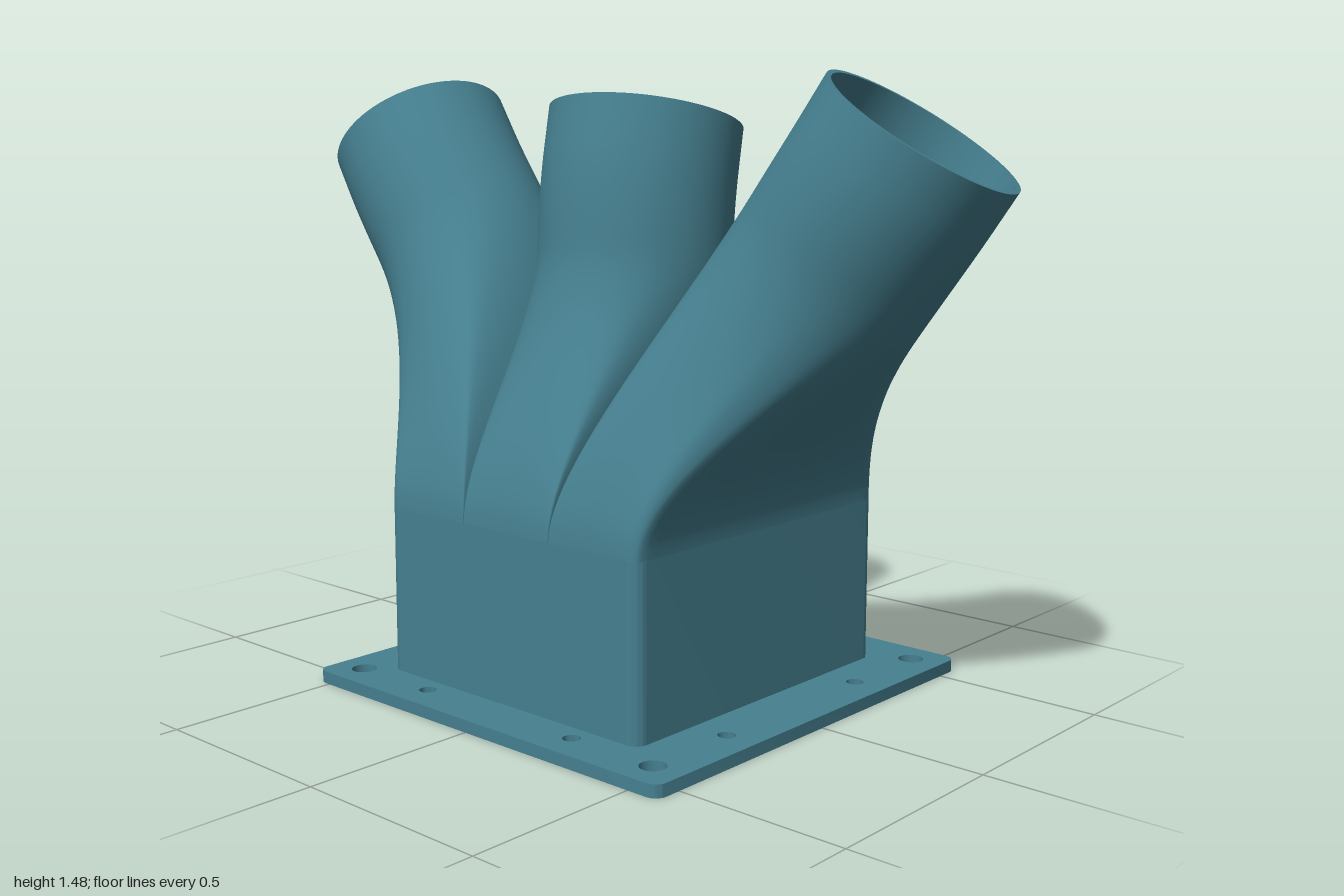
import * as THREE from 'three';
import { mergeGeometries, toCreasedNormals } from 'three/addons/utils/BufferGeometryUtils.js';

const WALL = 0.012, BASE_Y = 0.44, FLANGE_H = 0.03;
const HX = 0.41, HZ = 0.44, SPLIT = 0.14, CORNER = 0.03;
const SIDE = 24, ROWS = 32, COLLAR = 0.1, RADIUS = 0.237;

// Rounded rectangle traced on a Shape or Path
function roundRect(path, cx, hx, hz, r) {
  path.moveTo(cx + hx, -hz + r);
  path.absarc(cx + hx - r, hz - r, r, 0, Math.PI / 2);
  path.absarc(cx - hx + r, hz - r, r, Math.PI / 2, Math.PI);
  path.absarc(cx - hx + r, -hz + r, r, Math.PI, Math.PI * 1.5);
  path.absarc(cx + hx - r, -hz + r, r, Math.PI * 1.5, Math.PI * 2);
  return path;
}

// Extrude a plan shape upward from y0
function slab(shape, y0, height) {
  const geo = new THREE.ExtrudeGeometry(shape, { depth: height, bevelEnabled: false, curveSegments: 12 });
  geo.rotateX(-Math.PI / 2).translate(0, y0, 0);
  return toCreasedNormals(geo, 0.6);
}

function hermite(a, ta, b, tb, t) {
  const t2 = t * t, t3 = t2 * t;
  return (2 * t3 - 3 * t2 + 1) * a + (t3 - 2 * t2 + t) * ta + (3 * t2 - 2 * t3) * b + (t3 - t2) * tb;
}

// Smooth strip of quads between closed rows of points
function strip(rows) {
  const n = rows[0].length, index = [];
  for (let i = 0; i < rows.length - 1; i++) {
    for (let j = 0; j < n; j++) {
      const k = (j + 1) % n;
      const a = i * n + j, b = i * n + k, c = a + n, d = b + n;
      index.push(a, c, b, b, c, d);
    }
  }
  const geo = new THREE.BufferGeometry();
  geo.setAttribute('position', new THREE.Float32BufferAttribute(rows.flat().flatMap(p => p.toArray()), 3));
  geo.setIndex(index);
  geo.computeVertexNormals();
  return geo;
}

// Rows of one skin of a duct: rectangle at the bottom, circle at the mouth
function ductRows({ x0, x1, side, mouth, axis, pull, settle }, inset) {
  const n = axis.clone().normalize();
  const v = new THREE.Vector3(0, 0, 1).addScaledVector(n, -n.z).normalize();
  const u = new THREE.Vector3().crossVectors(n, v);
  const neck = mouth.clone().addScaledVector(n, -COLLAR);
  const cx = (x0 + x1) / 2, hx = (x1 - x0) / 2 - inset, hz = HZ - inset;
  const r = CORNER - inset, R = RADIUS - inset;

  // Curved centre line, and how far the section has turned into the circle
  const stations = Array.from({ length: ROWS + 1 }, (_, i) => {
    const t = i / ROWS;
    return {
      center: new THREE.Vector3(
        hermite(cx, 0, neck.x, n.x * pull, t),
        hermite(BASE_Y, pull, neck.y, n.y * pull, t),
        hermite(0, 0, neck.z, n.z * pull, t)),
      blend: THREE.MathUtils.smoothstep(t, 0, settle),
    };
  });
  stations.push({ center: mouth, blend: 1 });

  const rows = stations.map(() => []);
  for (let j = 0; j < SIDE * 4; j++) {
    const k = Math.floor(j / SIDE), s = (j % SIDE) / SIDE * 2 - 1;
    const f = Math.sin(s * Math.PI / 2);
    let [x, z] = [[hx, f * hz], [-f * hx, hz], [-hx, -f * hz], [f * hx, -hz]][k];
    // Round only the corners on the outside of the box
    if (side && x * side > hx - r && Math.abs(z) > hz - r) {
      const qx = side * (hx - r), qz = Math.sign(z) * (hz - r);
      const len = Math.hypot(x - qx, z - qz);
      x = qx + (x - qx) / len * r;
      z = qz + (z - qz) / len * r;
    }
    const angle = (k + s / 2) * Math.PI / 2;
    const start = new THREE.Vector3(x, 0, z);
    const ring = u.clone().multiplyScalar(R * Math.cos(angle)).addScaledVector(v, R * Math.sin(angle));
    stations.forEach(({ center, blend }, i) => rows[i].push(start.clone().lerp(ring, blend).add(center)));
  }
  return rows;
}

// Hollow duct: outer skin, mouth rim, inner skin and bottom edge
function ductGeometry(spec) {
  const outer = ductRows(spec, 0), inner = ductRows(spec, WALL);
  return mergeGeometries([
    strip(outer),
    strip([outer[ROWS + 1], inner[ROWS + 1]]),
    strip(inner.slice().reverse()),
    strip([inner[0], outer[0]]),
  ]);
}

export function createModel() {
  const group = new THREE.Group();
  group.name = 'ductManifold';
  const teal = new THREE.MeshStandardMaterial({ color: 0x468090 });
  teal.name = 'teal';
  const add = (name, geo) => {
    const mesh = new THREE.Mesh(geo, teal);
    mesh.name = name;
    group.add(mesh);
  };
  const opening = () => roundRect(new THREE.Path(), 0, HX - WALL, HZ - WALL, CORNER - WALL);

  // Mounting flange with bolt holes, slightly off centre
  const FX = 0.02;
  const plate = roundRect(new THREE.Shape(), FX, 0.562, 0.57, 0.03);
  plate.holes.push(opening());
  const drill = (x, z, r) => plate.holes.push(new THREE.Path().absarc(FX + x, z, r, 0, Math.PI * 2));
  for (const a of [-1, 1]) {
    for (const b of [-1, 1]) {
      drill(a * 0.48, b * 0.49, 0.031);
      drill(a * 0.24, b * 0.49, 0.021);
      drill(a * 0.48, b * 0.245, 0.021);
    }
  }
  add('flange', slab(plate, 0, FLANGE_H));

  // Open box that feeds the ducts
  const box = roundRect(new THREE.Shape(), 0, HX, HZ, CORNER);
  box.holes.push(opening());
  add('plenumBox', slab(box, FLANGE_H, BASE_Y - FLANGE_H));

  // Divider walls hanging inside the box below the duct seams
  const DIVIDER_Y = 0.165;
  for (const s of [-1, 1]) {
    const wall = new THREE.BoxGeometry(WALL * 2, BASE_Y - DIVIDER_Y, (HZ - WALL) * 2);
    wall.translate(s * SPLIT, (BASE_Y + DIVIDER_Y) / 2, 0);
    add(s > 0 ? 'leftDivider' : 'rightDivider', wall);
  }

  // Three ducts fanning out of the box
  const V = (x, y, z) => new THREE.Vector3(x, y, z);
  add('leftDuct', ductGeometry({
    x0: SPLIT, x1: HX, side: 1, mouth: V(0.8, 1.35, -0.02), axis: V(0.53, 0.84, -0.13), pull: 0.7, settle: 0.76 }));
  add('rightDuct', ductGeometry({
    x0: -HX, x1: -SPLIT, side: -1, mouth: V(-0.81, 1.338, -0.025), axis: V(-0.6, 0.8, -0.1), pull: 0.7, settle: 0.76 }));
  add('centerDuct', ductGeometry({
    x0: -SPLIT, x1: SPLIT, side: 0, mouth: V(-0.015, 1.38, -0.06), axis: V(-0.06, 0.97, -0.24), pull: 0.75, settle: 0.7 }));

  return group;
}
